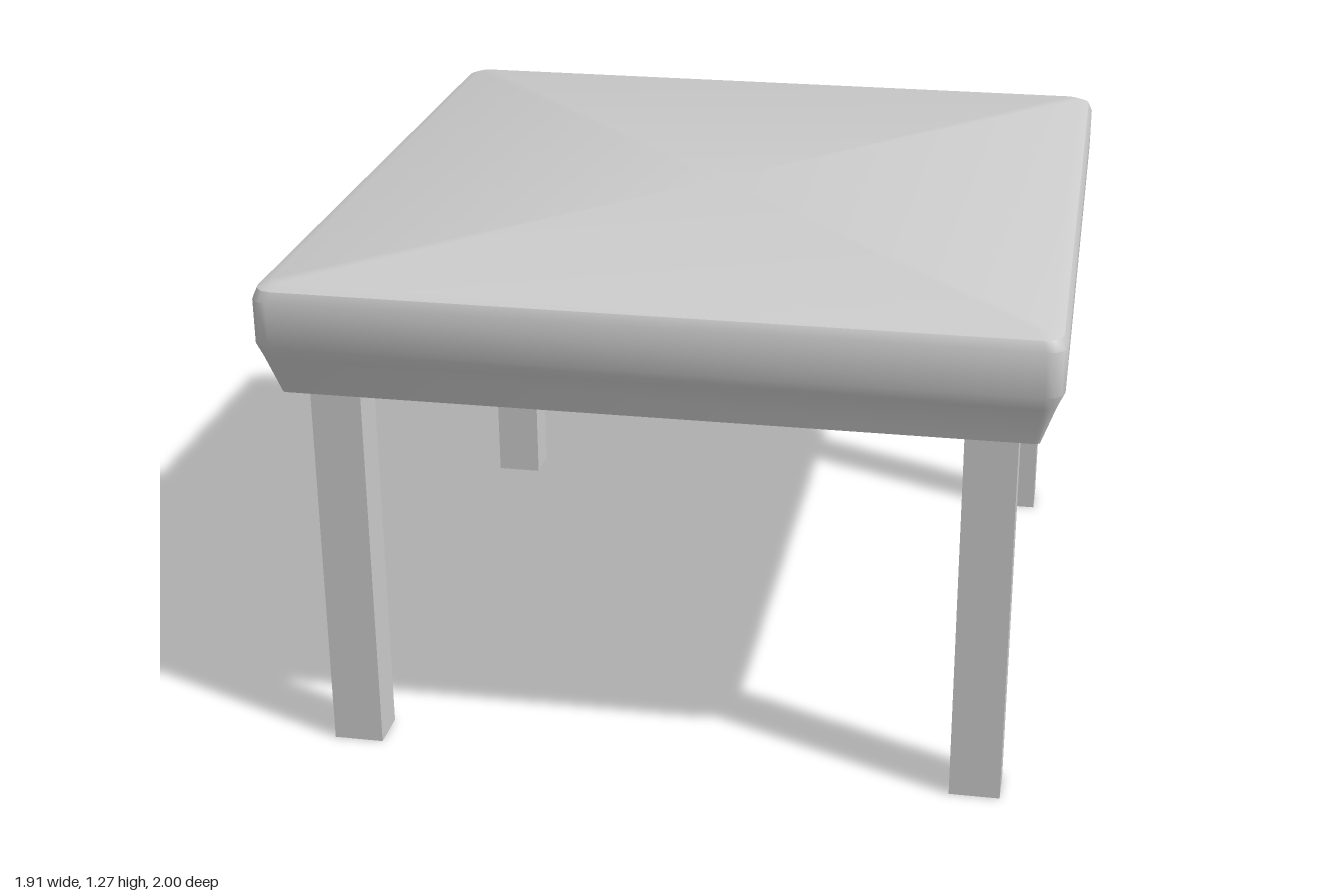
import * as THREE from 'three';
import { toCreasedNormals } from 'three/addons/utils/BufferGeometryUtils.js';

const HALF_X = 0.955, HALF_Z = 1;

// Cross-sections of the slab, bottom to top: inset, height, corner radius
const SECTIONS = [
  [0.05, 0.99, 0.012],
  [0.016, 1.09, 0.03],
  [0, 1.125, 0.045],
  [0, 1.235, 0.045],
  [0.01, 1.26, 0.045],
  [0.04, 1.273, 0.03],
];

// One rounded-rectangle ring
function ring([inset, y, r]) {
  const points = [];
  for (let corner = 0; corner < 4; corner++) {
    const sx = corner === 0 || corner === 3 ? 1 : -1;
    const sz = corner < 2 ? 1 : -1;
    for (let i = 0; i <= 3; i++) {
      const a = (corner + i / 3) * Math.PI / 2;
      points.push([
        sx * (HALF_X - inset - r) + r * Math.cos(a),
        y,
        sz * (HALF_Z - inset - r) + r * Math.sin(a),
      ]);
    }
  }
  return points;
}

// Skin the rings and close both ends
function slabGeometry() {
  const rings = SECTIONS.map(ring);
  const n = rings[0].length;
  const last = rings.length - 1;
  const positions = [];
  const tri = (...corners) => corners.forEach((p) => positions.push(...p));
  for (let j = 0; j < n; j++) {
    const k = (j + 1) % n;
    for (let i = 0; i < last; i++) {
      const lower = rings[i], upper = rings[i + 1];
      tri(lower[j], upper[j], upper[k]);
      tri(lower[j], upper[k], lower[k]);
    }
    tri([0, SECTIONS[last][1], 0], rings[last][k], rings[last][j]);
    tri([0, SECTIONS[0][1], 0], rings[0][j], rings[0][k]);
  }
  const geometry = new THREE.BufferGeometry();
  geometry.setAttribute('position', new THREE.Float32BufferAttribute(positions, 3));
  return toCreasedNormals(geometry, 0.65);
}

export function createModel() {
  const group = new THREE.Group();
  group.name = 'table';
  const material = new THREE.MeshStandardMaterial({ color: 0xcccccc });

  const top = new THREE.Mesh(slabGeometry(), material);
  top.name = 'tableTop';
  group.add(top);

  // Four square legs, set in from the corners
  const legGeometry = new THREE.BoxGeometry(0.126, 1, 0.108);
  for (const [end, sz] of [['front', 1], ['back', -1]]) {
    for (const [side, sx] of [['Left', 1], ['Right', -1]]) {
      const leg = new THREE.Mesh(legGeometry, material);
      leg.name = `${end}${side}Leg`;
      leg.position.set(sx * 0.792, 0.5, sz * 0.838);
      group.add(leg);
    }
  }
  return group;
}
